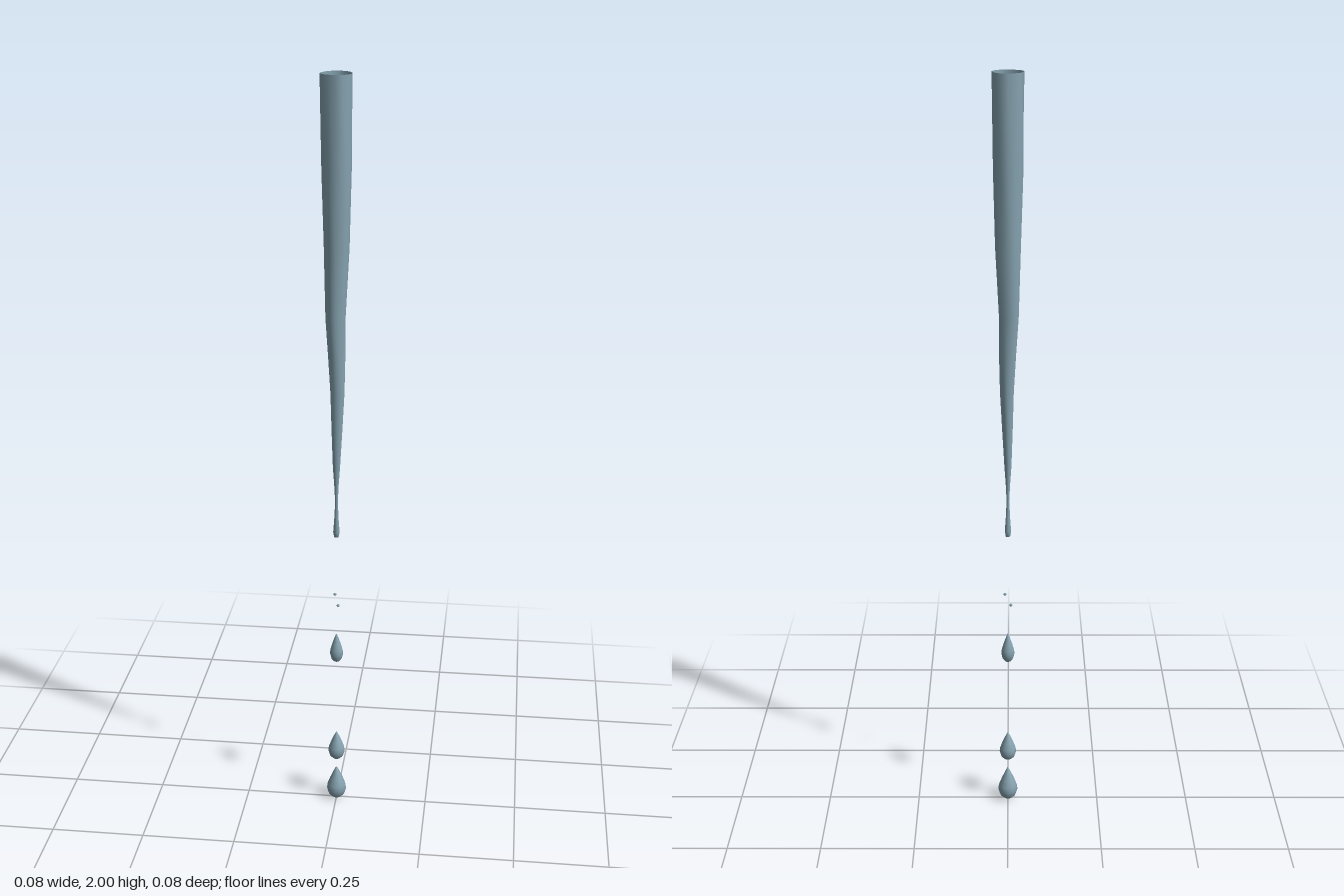
import * as THREE from 'three';

const water = new THREE.MeshStandardMaterial({ color: 0x86a3b0, side: THREE.DoubleSide });

// Tapering stream, open at the top and ending in a small hanging bulb
function makeStream() {
  // [y, radius, centre x]
  const rings = [
    [0.8, 0, 0], [0.801, 0.006, 0], [0.815, 0.0085, 0], [0.85, 0.006, 0],
    [0.9, 0.0035, 0], [0.95, 0.006, 0], [1.0, 0.0095, 0], [1.1, 0.014, 0.001],
    [1.2, 0.018, 0.002], [1.3, 0.022, 0], [1.4, 0.0255, -0.003], [1.58, 0.032, 0],
    [1.77, 0.037, 0], [2.0, 0.039, 0],
  ];
  const geometry = new THREE.LatheGeometry(rings.map(([y, r]) => new THREE.Vector2(r, y)), 14);
  const p = geometry.attributes.position;
  for (let i = 0; i < p.count; i++) {
    const [y, , cx] = rings[i % rings.length];
    const angle = Math.atan2(p.getZ(i), p.getX(i));
    // Slight uneven swelling of the flowing surface
    const swell = 1 + 0.035 * Math.sin(3 * angle + 6 * y) + 0.02 * Math.sin(5 * angle - 9 * y);
    p.setX(i, p.getX(i) * swell + cx);
    p.setZ(i, p.getZ(i) * swell);
  }
  geometry.computeVertexNormals();
  // Join the shading across the lathe seam
  const n = geometry.attributes.normal;
  const last = p.count - rings.length;
  for (let i = 0; i < rings.length; i++) {
    const v = new THREE.Vector3().fromBufferAttribute(n, i)
      .add(new THREE.Vector3().fromBufferAttribute(n, last + i)).normalize();
    n.setXYZ(i, v.x, v.y, v.z);
    n.setXYZ(last + i, v.x, v.y, v.z);
  }
  const mesh = new THREE.Mesh(geometry, water);
  mesh.name = 'stream';
  return mesh;
}

// Teardrop outline: radius and height as fractions
const dropProfile = [
  [0, 0], [0.45, 0.03], [0.8, 0.12], [1, 0.29], [0.92, 0.44],
  [0.66, 0.63], [0.34, 0.83], [0.12, 0.95], [0, 1],
].map(([r, y]) => new THREE.Vector2(r, y));

function makeDrop(name, y, height, radius) {
  const mesh = new THREE.Mesh(new THREE.LatheGeometry(dropProfile, 12), water);
  mesh.scale.set(radius, height, radius);
  mesh.position.y = y;
  mesh.name = name;
  return mesh;
}

export function createModel() {
  const model = new THREE.Group();
  model.name = 'drippingWater';
  model.add(
    makeStream(),
    makeDrop('upperDrop', 0.43, 0.085, 0.018),
    makeDrop('middleDrop', 0.125, 0.085, 0.023),
    makeDrop('lowerDrop', 0, 0.098, 0.027),
  );
  // Two tiny splash beads
  for (const side of [1, -1]) {
    const bead = new THREE.Mesh(new THREE.SphereGeometry(0.004, 8, 6), water);
    bead.position.set(0.008 * side, 0.616, 0.033 * side);
    bead.name = side > 0 ? 'frontBead' : 'backBead';
    model.add(bead);
  }
  return model;
}
